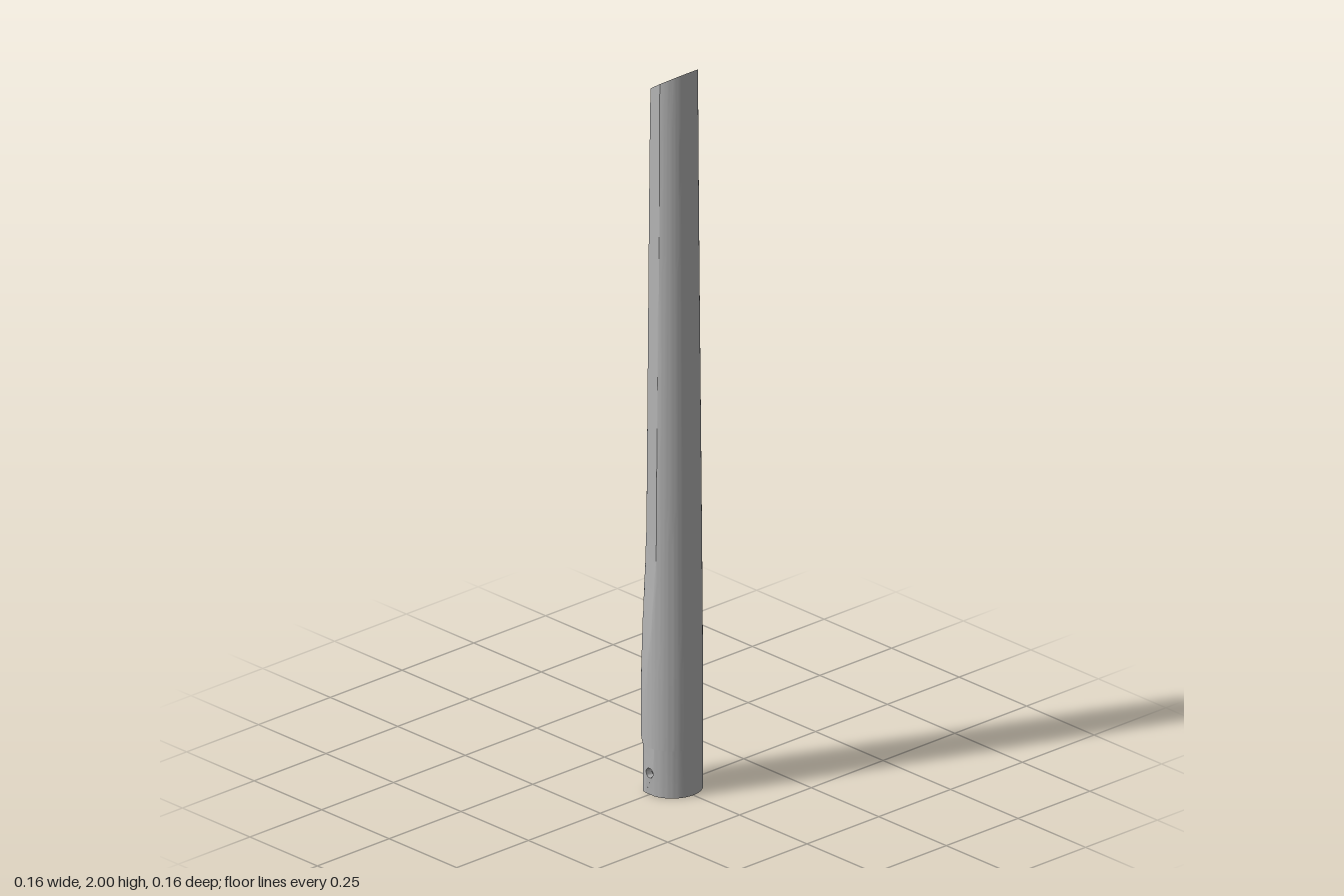
import * as THREE from 'three';
import { toCreasedNormals } from 'three/addons/utils/BufferGeometryUtils.js';

const R = 0.079, WALL = 0.018, SOCKET = 0.13, N = 96;
const lerp = THREE.MathUtils.lerp;
const smooth = THREE.MathUtils.smoothstep;
const rad = THREE.MathUtils.degToRad;

// Round at the foot, pared by two flat flanks to a wedge-shaped section above
function sectionPoint(i, y) {
  const t = (i / N) * Math.PI * 2;
  const sx = Math.abs(Math.sin(t)), cz = Math.cos(t);
  let r = lerp(R, 0.066, smooth(y, 0.2, 2) * 0.4 + 0.6 * Math.max(0, (y - 0.3) / 1.7));
  const flank = y < 0.75 ? lerp(0.08, 0.054, smooth(y, 0.15, 0.75)) : lerp(0.054, 0.0445, (y - 0.75) / 1.25);
  const toFlank = 0.874 * sx - 0.486 * cz;
  if (toFlank > 0) r = Math.min(r, flank / toFlank);
  const back = lerp(0.079, 0.069, Math.max(0, (y - 0.2) / 1.8));
  if (cz < 0) r = Math.min(r, back / -cz);
  return [r * Math.sin(t), r * cz];
}

function shaftGeometry() {
  const heights = [SOCKET];
  for (let y = 0.2; y < 1.9; y += 0.05) heights.push(y);
  heights.push(2);
  const last = heights.length - 1, pos = [], index = [];
  heights.forEach((h, row) => {
    for (let i = 0; i < N; i++) {
      const [x, z] = sectionPoint(i, h);
      let y = h;
      if (row === 0) y += Math.max(0, -0.03 - z) * 0.95; // slanted undercut at the back
      if (row === last) y += (z - 0.066) * 0.63;         // sloping top
      pos.push(x, y, z);
    }
  });
  for (let row = 0; row < last; row++) {
    for (let i = 0; i < N; i++) {
      const a = row * N + i, b = row * N + (i + 1) % N;
      index.push(a, b, b + N, a, b + N, a + N);
    }
  }
  // Both ends closed with strips between mirrored points
  for (let k = 0; k < N / 2; k++) {
    const a = k, b = k + 1, c = N - k - 1, d = (N - k) % N, o = last * N;
    if (b !== c) index.push(o + a, o + b, o + c, a, c, b);
    if (a !== d) index.push(o + a, o + c, o + d, a, d, c);
  }
  const g = new THREE.BufferGeometry();
  g.setAttribute('position', new THREE.Float32BufferAttribute(pos, 3));
  g.setIndex(index);
  return toCreasedNormals(g, rad(25));
}

// Upright curved wall; angles run from the front towards +x
function wallGeometry(from, to, innerFrom = from, innerTo = to) {
  const pts = [], steps = Math.max(4, Math.ceil(Math.abs(to - from) / 5));
  const add = (r, deg) => pts.push(new THREE.Vector2(r * Math.sin(rad(deg)), -r * Math.cos(rad(deg))));
  for (let i = 0; i <= steps; i++) add(R, lerp(from, to, i / steps));
  for (let i = steps; i >= 0; i--) add(R - WALL, lerp(innerFrom, innerTo, i / steps));
  const g = new THREE.ExtrudeGeometry(new THREE.Shape(pts), { depth: SOCKET, bevelEnabled: false });
  g.rotateX(-Math.PI / 2);
  return toCreasedNormals(g, rad(30));
}

// Wall panel with a pin hole, bent round the axis
function pinPanelGeometry(side) {
  const w = R * rad(12);
  const shape = new THREE.Shape([[-w, 0], [w, 0], [w, SOCKET], [-w, SOCKET]].map(p => new THREE.Vector2(...p)));
  const hole = new THREE.Path();
  hole.absarc(0, 0.06, 0.013, 0, Math.PI * 2, true);
  shape.holes.push(hole);
  const g = new THREE.ExtrudeGeometry(shape, { depth: WALL, bevelEnabled: false, curveSegments: 20 });
  const p = g.attributes.position;
  for (let i = 0; i < p.count; i++) {
    const t = side * Math.PI / 2 + p.getX(i) / R, r = R - WALL + p.getZ(i);
    p.setXYZ(i, r * Math.sin(t), p.getY(i), r * Math.cos(t));
  }
  return toCreasedNormals(g, rad(30));
}

export function createModel() {
  const group = new THREE.Group();
  group.name = 'handle';
  const grey = new THREE.MeshStandardMaterial({ color: 0xb2b2b2 });
  grey.name = 'grey';
  const add = (name, geometry, x = 0, y = 0, z = 0) => {
    const mesh = new THREE.Mesh(geometry, grey);
    mesh.name = name;
    mesh.position.set(x, y, z);
    group.add(mesh);
  };

  add('shaft', shaftGeometry());

  // Open-backed socket at the foot
  add('socketFront', wallGeometry(-78, 78));
  const outer = THREE.MathUtils.radToDeg(Math.acos(-0.03 / R));
  const inner = THREE.MathUtils.radToDeg(Math.acos(-0.03 / (R - WALL)));
  add('socketEdgeLeft', wallGeometry(102, outer, 102, inner));
  add('socketEdgeRight', wallGeometry(-outer, -102, -inner, -102));
  for (const side of [1, -1]) {
    add(side > 0 ? 'pinPanelLeft' : 'pinPanelRight', pinPanelGeometry(side));
    add(side > 0 ? 'ribLeft' : 'ribRight', new THREE.BoxGeometry(0.018, 0.11, 0.01), side * 0.047, 0.075, -0.024);
  }
  add('ribFront', new THREE.BoxGeometry(0.012, 0.11, 0.02), 0, 0.075, 0.054);
  add('boss', new THREE.CylinderGeometry(0.025, 0.025, 0.03, 32), 0, 0.116, 0);
  return group;
}
